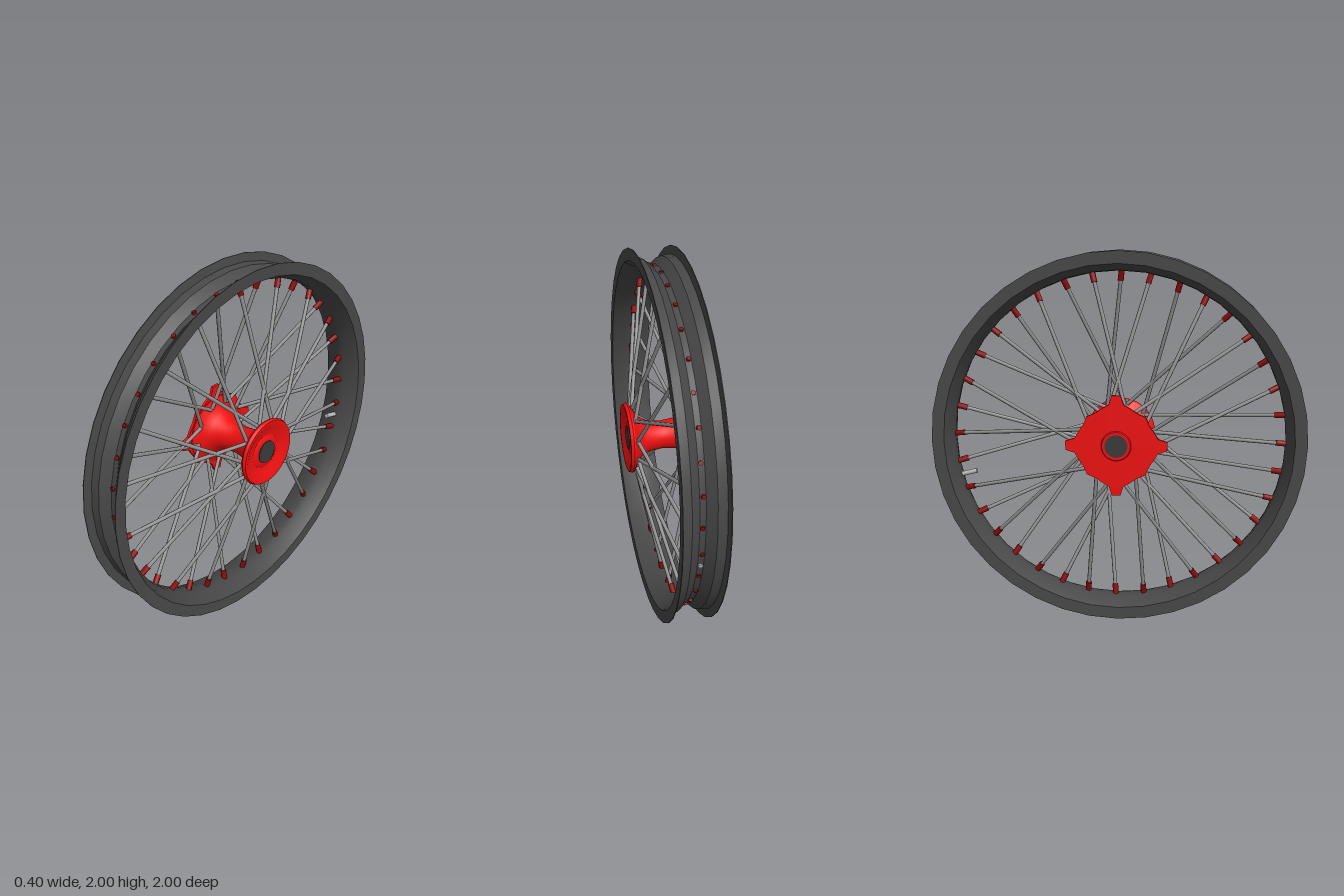
import * as THREE from 'three';
import { toCreasedNormals } from 'three/addons/utils/BufferGeometryUtils.js';

const mat = (color) => new THREE.MeshStandardMaterial({ color, side: THREE.DoubleSide });
const RIM = mat(0x484848), STEEL = mat(0x909090), HUB = mat(0xf01010);
const NIPPLE = mat(0x8c0a0a), AXLE = mat(0x3a3a3a), VALVE = mat(0xb8b8b8);

export function createModel() {
  const wheel = new THREE.Group();
  wheel.name = 'wheel';
  wheel.position.y = 1;

  const add = (name, geometry, material, parent = wheel) => {
    const mesh = new THREE.Mesh(geometry, material);
    mesh.name = name;
    parent.add(mesh);
    return mesh;
  };

  // Turned part around the x axis from a profile of [radius, x]
  const turned = (name, profile, segments, material) => {
    const g = new THREE.LatheGeometry(profile.map(([r, x]) => new THREE.Vector2(r, x)), segments);
    g.rotateZ(-Math.PI / 2);
    return add(name, toCreasedNormals(g, 0.5), material);
  };

  // Point at a clockwise angle (degrees from the top), seen from +x
  const polar = (deg, r, x) => {
    const a = THREE.MathUtils.degToRad(deg);
    return new THREE.Vector3(x, r * Math.cos(a), -r * Math.sin(a));
  };

  // Straight round bar between two points
  const bar = (name, from, to, radius, sides, material, parent) => {
    const dir = to.clone().sub(from);
    const mesh = add(name, new THREE.CylinderGeometry(radius, radius, dir.length(), sides), material, parent);
    mesh.position.copy(from).add(to).multiplyScalar(0.5);
    mesh.quaternion.setFromUnitVectors(new THREE.Vector3(0, 1, 0), dir.normalize());
    return mesh;
  };

  // Rim: raised lips, shelf and a central drop channel
  turned('rim', [
    [0.895, 0], [0.9, -0.04], [0.935, -0.113], [1, -0.115], [1, -0.111], [0.955, -0.105],
    [0.95, -0.06], [0.91, -0.015], [0.91, 0.015], [0.95, 0.06], [0.955, 0.105],
    [1, 0.111], [1, 0.115], [0.935, 0.113], [0.9, 0.04], [0.895, 0],
  ], 40, RIM);

  // Hub barrel flaring into both flanges, with a dished right face
  turned('hub', [
    [0.06, -0.2], [0.075, -0.2], [0.08, -0.19], [0.2, -0.185], [0.2, -0.17], [0.16, -0.155],
    [0.115, -0.125], [0.085, -0.08], [0.075, 0], [0.085, 0.08], [0.11, 0.125],
    [0.155, 0.155], [0.185, 0.172], [0.19, 0.182], [0.183, 0.198], [0.165, 0.198],
    [0.13, 0.18], [0.095, 0.175], [0.075, 0.185], [0.06, 0.185],
  ], 40, HUB);
  const axle = add('axle', new THREE.CylinderGeometry(0.063, 0.063, 0.385, 28), AXLE);
  axle.rotation.z = Math.PI / 2;
  axle.position.x = -0.003;

  // Mounting plate with four pointed tabs
  const plate = new THREE.Shape();
  const ring = [[-20, 0.212], [-10, 0.222], [-5, 0.268], [5, 0.268], [10, 0.222], [20, 0.212], [32, 0.205], [45, 0.218], [58, 0.205]];
  const outline = [];
  for (let tab = 0; tab < 4; tab++) {
    for (const [deg, r] of ring) {
      const a = THREE.MathUtils.degToRad(tab * 90 + deg);
      outline.push(new THREE.Vector2(r * Math.cos(a), r * Math.sin(a)));
    }
  }
  plate.setFromPoints(outline);
  plate.holes.push(new THREE.Path().absarc(0, 0, 0.07, 0, Math.PI * 2, true));
  const plateGeometry = new THREE.ExtrudeGeometry(plate, { depth: 0.016, bevelEnabled: false });
  plateGeometry.rotateY(Math.PI / 2);
  add('mountingPlate', plateGeometry, HUB).position.x = -0.191;

  // Crossed spokes: alternating flanges, pairs leaning each way
  const lean = [1, -1, -1, 1];
  for (let k = 0; k < 36; k++) {
    const spoke = new THREE.Group();
    spoke.name = 'spoke' + (k + 1);
    wheel.add(spoke);
    const angle = 10 * k - 1;
    const side = k % 2 ? -1 : 1;
    const outer = polar(angle, 0.9, 0);
    const inner = polar(angle + lean[k % 4] * 28, 0.165, side * 0.155);
    const dir = inner.clone().sub(outer).normalize();
    const along = (d) => outer.clone().addScaledVector(dir, d);
    bar('spokeWire', inner, along(0.04), 0.0105, 8, STEEL, spoke);
    bar('nipple', along(0), along(0.058), 0.016, 8, NIPPLE, spoke);
    bar('nippleHead', along(-0.018), along(0), 0.012, 6, NIPPLE, spoke);
    // Hooked end passing through the flange
    bar('spokeHook', inner, inner.clone().add(new THREE.Vector3(side * 0.02, 0, 0)), 0.0105, 8, STEEL, spoke);
  }

  // Valve stem
  bar('valveStem', polar(104, 0.915, 0), polar(104, 0.81, 0), 0.013, 12, VALVE);

  const model = new THREE.Group();
  model.name = 'spokedWheel';
  model.add(wheel);
  return model;
}
